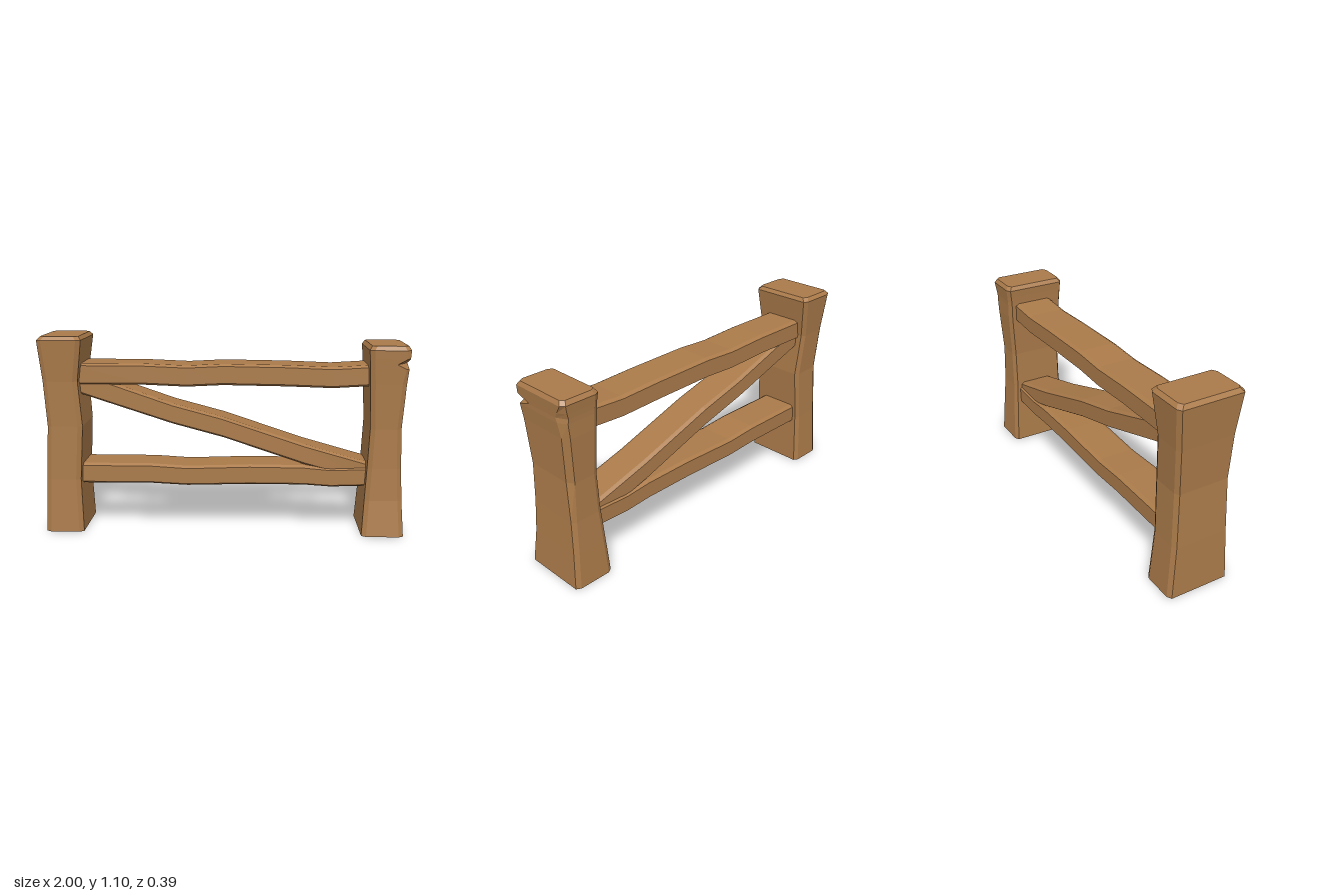
import * as THREE from 'three';

const wood = new THREE.MeshStandardMaterial({ color: 0xab7b4a, side: THREE.DoubleSide });
wood.name = 'warm wood';

// Counter-clockwise rectangle with cut corners; cuts are [du, dv] per corner,
// in the order (+u-v), (+u+v), (-u+v), (-u-v).
function cutRect(u0, u1, v0, v1, cuts) {
  const [a, b, c, d] = cuts;
  return [
    [u1 - a[0], v0], [u1, v0 + a[1]],
    [u1, v1 - b[1]], [u1 - b[0], v1],
    [u0 + c[0], v1], [u0, v1 - c[1]],
    [u0, v0 + d[1]], [u0 + d[0], v0],
  ];
}

// Faceted skin through rings of 3D points, closed at the last ring.
function loft(name, rings, capStart) {
  const pos = [];
  const tri = (...pts) => pts.forEach((p) => pos.push(...p));
  const n = rings[0].length;
  for (let k = 0; k < rings.length - 1; k++) {
    const lo = rings[k], hi = rings[k + 1];
    for (let i = 0; i < n; i++) {
      const j = (i + 1) % n;
      tri(lo[i], lo[j], hi[j]);
      tri(lo[i], hi[j], hi[i]);
    }
  }
  const first = rings[0], last = rings[rings.length - 1];
  for (let i = 1; i < n - 1; i++) {
    tri(last[0], last[i], last[i + 1]);
    if (capStart) tri(first[0], first[i + 1], first[i]);
  }
  const geo = new THREE.BufferGeometry();
  geo.setAttribute('position', new THREE.Float32BufferAttribute(pos, 3));
  geo.computeVertexNormals();
  const mesh = new THREE.Mesh(geo, wood);
  mesh.name = name;
  return mesh;
}

// Post sections: [y, x0, x1, z0, z1, frontOuterCut, backOuterCut]; hollow underneath.
function post(name, sections) {
  const std = [0.015, 0.025];
  return loft(name, sections.map(([y, x0, x1, z0, z1, front = std, back = std]) =>
    cutRect(z0, z1, x0, x1, [std, front, back, std]).map(([z, x]) => [x, y, z])));
}

// Rail sections: [x, yBottom, yTop], with a constant depth.
function rail(name, sections, z0, z1) {
  const c = [0.012, 0.02];
  return loft(name, sections.map(([x, y0, y1]) =>
    cutRect(y0, y1, z0, z1, [c, c, c, c]).map(([y, z]) => [x, y, z])), true);
}

export function createModel() {
  const fence = new THREE.Group();
  fence.name = 'fence';

  fence.add(post('tallPost', [
    [0, -0.99, -0.78, -0.185, 0.175],
    [0.3, -0.98, -0.79, -0.165, 0.16],
    [0.6, -0.965, -0.772, -0.155, 0.155],
    [0.85, -0.98, -0.79, -0.17, 0.16],
    [1.075, -1.0, -0.76, -0.193, 0.18],
    [1.095, -0.982, -0.775, -0.175, 0.162],
  ]));

  // The short post has a split in its front corner and a chipped back corner.
  const small = [0.015, 0.025];
  fence.add(post('shortPost', [
    [0, 0.77, 1.0, -0.185, 0.195],
    [0.2, 0.783, 0.987, -0.173, 0.168],
    [0.38, 0.793, 0.978, -0.16, 0.16],
    [0.6, 0.802, 0.97, -0.157, 0.16, small, [0.035, 0.025]],
    [0.85, 0.792, 0.985, -0.17, 0.173, small, [0.035, 0.025]],
    [0.93, 0.787, 0.992, -0.171, 0.178, [0.01, 0.015], [0.05, 0.025]],
    [0.955, 0.786, 0.993, -0.172, 0.18, [0.09, 0.065], [0.06, 0.03]],
    [0.985, 0.784, 0.996, -0.175, 0.182, [0.01, 0.015], [0.045, 0.025]],
    [1.03, 0.78, 1.0, -0.18, 0.185, small, [0.02, 0.02]],
    [1.052, 0.795, 0.988, -0.165, 0.168, small, [0.02, 0.02]],
  ]));

  fence.add(rail('topRail', [
    [-0.82, 0.823, 0.942], [-0.45, 0.825, 0.942], [-0.2, 0.815, 0.932],
    [0, 0.825, 0.942], [0.35, 0.82, 0.937], [0.6, 0.812, 0.928], [0.83, 0.826, 0.942],
  ], -0.13, 0.1));

  fence.add(rail('bottomRail', [
    [-0.82, 0.262, 0.378], [-0.4, 0.264, 0.378], [-0.2, 0.254, 0.366],
    [0.15, 0.264, 0.378], [0.45, 0.264, 0.376], [0.6, 0.254, 0.363], [0.83, 0.262, 0.372],
  ], -0.13, 0.1));

  fence.add(rail('diagonalBrace', [
    [-0.82, 0.78, 0.905], [-0.28, 0.605, 0.72], [0, 0.53, 0.645],
    [0.45, 0.38, 0.495], [0.83, 0.275, 0.388],
  ], -0.118, 0.088));

  return fence;
}
